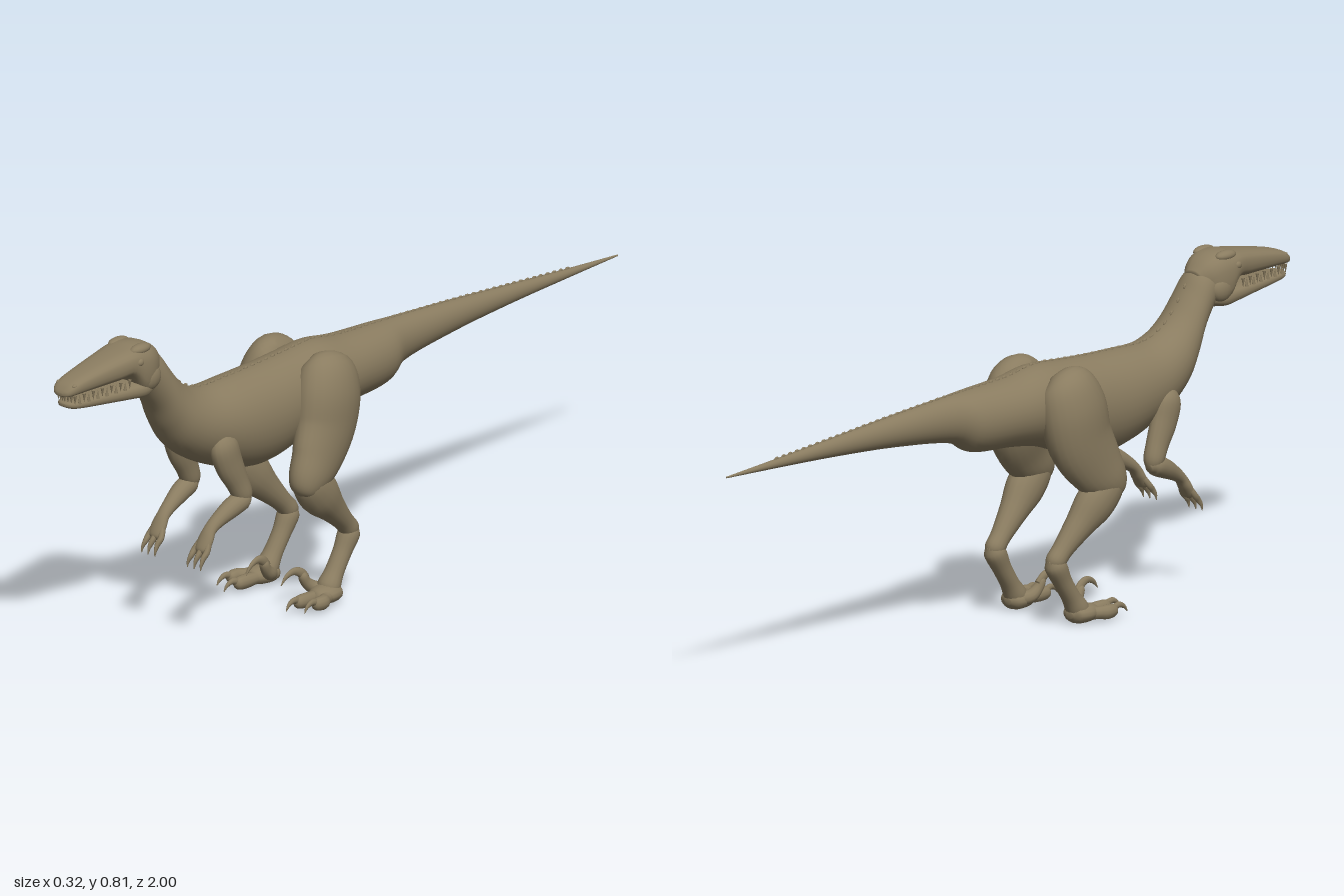
import * as THREE from 'three';

const hide = new THREE.MeshStandardMaterial({ color: 0x8a7c60 });
hide.name = 'olive hide';

// Smoothly resample rows of numbers
function smooth(rows, steps) {
  const out = [];
  for (let i = 0; i < rows.length - 1; i++) {
    const p0 = rows[Math.max(i - 1, 0)], p1 = rows[i];
    const p2 = rows[i + 1], p3 = rows[Math.min(i + 2, rows.length - 1)];
    for (let k = 0; k < steps; k++) {
      const t = k / steps;
      out.push(p1.map((b, n) => 0.5 * (2 * b + (p2[n] - p0[n]) * t
        + (2 * p0[n] - 5 * b + 4 * p2[n] - p3[n]) * t * t
        + (3 * b - p0[n] - 3 * p2[n] + p3[n]) * t * t * t)));
    }
  }
  out.push(rows[rows.length - 1].slice());
  return out;
}

// Skin closed rings {c, a, b}: centre and two half axes; power < 1 squares the section
function loft(name, rings, sides = 20, power = 1) {
  const pos = [], index = [];
  const sq = v => Math.sign(v) * Math.abs(v) ** power;
  for (const { c, a, b } of rings) {
    for (let j = 0; j < sides; j++) {
      const t = (j / sides) * Math.PI * 2;
      const p = c.clone().addScaledVector(a, sq(Math.cos(t))).addScaledVector(b, sq(Math.sin(t)));
      pos.push(p.x, p.y, p.z);
    }
  }
  const last = rings.length - 1, first = rings.length * sides;
  pos.push(...rings[0].c.toArray(), ...rings[last].c.toArray());
  for (let j = 0; j < sides; j++) {
    const k = (j + 1) % sides;
    for (let i = 0; i < last; i++) {
      const p = i * sides, q = p + sides;
      index.push(p + j, p + k, q + k, p + j, q + k, q + j);
    }
    index.push(first, k, j, first + 1, last * sides + j, last * sides + k);
  }
  const g = new THREE.BufferGeometry();
  g.setAttribute('position', new THREE.Float32BufferAttribute(pos, 3));
  g.setIndex(index);
  g.computeVertexNormals();
  const mesh = new THREE.Mesh(g, hide);
  mesh.name = name;
  return mesh;
}

// Rows: z top, y top, z bottom, y bottom, half width
const slab = r => ({
  c: new THREE.Vector3(0, (r[1] + r[3]) / 2, (r[0] + r[2]) / 2),
  a: new THREE.Vector3(r[4], 0, 0),
  b: new THREE.Vector3(0, (r[1] - r[3]) / 2, (r[0] - r[2]) / 2),
});

// Rows: x, y, z, half width, half depth; s mirrors the limb
function limb(name, s, rows, sides = 16, steps = 5) {
  const pts = smooth(rows, steps);
  const at = i => new THREE.Vector3(s * pts[i][0], pts[i][1], pts[i][2]);
  return loft(name, pts.map((r, i) => {
    const t = at(Math.min(i + 1, pts.length - 1)).sub(at(Math.max(i - 1, 0))).normalize();
    const a = new THREE.Vector3(1, 0, 0).addScaledVector(t, -t.x).normalize();
    const b = t.clone().cross(a);
    return { c: at(i), a: a.multiplyScalar(r[3]), b: b.multiplyScalar(r[4]) };
  }), sides);
}

const bodyRows = [
  [-1, .562, -1, .558, .002], [-.8, .575, -.8, .55, .012], [-.6, .59, -.6, .54, .021],
  [-.4, .605, -.4, .525, .033], [-.22, .616, -.21, .5, .047], [-.13, .62, -.13, .463, .072],
  [0, .626, 0, .452, .087], [.1, .64, .1, .435, .093], [.2, .634, .2, .4, .097],
  [.3, .628, .3, .378, .1], [.4, .625, .4, .39, .099], [.49, .624, .52, .437, .09],
  [.55, .642, .6, .49, .079], [.595, .675, .645, .553, .067], [.635, .722, .672, .61, .059],
  [.665, .762, .7, .65, .054], [.7, .785, .73, .69, .05],
];

function head() {
  const g = new THREE.Group();
  g.name = 'head';
  const skull = [
    [.665, .765, .69, .68, .03], [.69, .79, .705, .67, .05], [.72, .806, .725, .672, .061],
    [.755, .81, .75, .68, .064], [.785, .805, .785, .73, .06], [.83, .798, .83, .731, .053],
    [.9, .785, .9, .731, .044], [.95, .774, .95, .731, .038], [.98, .763, .98, .731, .033],
    [.995, .75, .995, .732, .023], [1, .742, 1, .735, .008],
  ];
  const jaw = [
    [.7, .712, .7, .68, .045], [.74, .718, .74, .67, .058], [.79, .717, .79, .674, .053],
    [.85, .717, .85, .681, .046], [.92, .717, .92, .689, .038], [.965, .717, .965, .695, .031],
    [.982, .715, .982, .7, .021], [.988, .711, .988, .704, .008],
  ];
  g.add(loft('skull', smooth(skull, 4).map(slab), 24, .75));
  g.add(loft('lowerJaw', smooth(jaw, 4).map(slab), 24, .75));
  const ball = new THREE.SphereGeometry(1, 16, 10);
  const tooth = new THREE.ConeGeometry(.0045, .024, 6);
  const blob = (name, x, y, z, rx, ry, rz) => {
    const m = new THREE.Mesh(ball, hide);
    m.name = name;
    m.position.set(x, y, z);
    m.scale.set(rx, ry, rz);
    g.add(m);
  };
  for (const s of [-1, 1]) {
    blob('brow', s * .036, .798, .75, .017, .013, .034);
    blob('eye', s * .056, .773, .772, .008, .01, .012);
    blob('cheek', s * .045, .72, .725, .02, .032, .035);
    blob('nostril', s * .026, .758, .972, .006, .005, .01);
    for (let i = 0; i < 13; i++) {
      const t = new THREE.Mesh(tooth, hide);
      t.name = 'tooth';
      t.position.set(s * (.048 - i * .0017), .722, .8 + i * .0145);
      t.rotation.x = i % 2 ? 0 : Math.PI;
      g.add(t);
    }
  }
  for (let i = -2; i <= 2; i++) {
    const t = new THREE.Mesh(tooth, hide);
    t.name = 'frontTooth';
    t.position.set(i * .009, .722, .981 - Math.abs(i) * .002);
    t.rotation.x = Math.PI;
    g.add(t);
  }
  return g;
}

function hindLeg(s) {
  const g = new THREE.Group();
  g.name = s > 0 ? 'leftHindLeg' : 'rightHindLeg';
  g.add(limb('thigh', s, [
    [.06, .622, .125, .015, .03], [.078, .6, .13, .055, .075], [.093, .54, .14, .066, .095],
    [.1, .46, .158, .061, .094], [.112, .39, .2, .049, .08], [.118, .345, .238, .043, .058],
    [.12, .315, .258, .03, .035], [.12, .305, .264, .008, .01],
  ], 24));
  g.add(limb('shank', s, [
    [.12, .36, .262, .014, .014], [.119, .34, .242, .038, .044], [.115, .295, .195, .042, .055],
    [.108, .245, .145, .034, .038], [.102, .195, .095, .026, .026],
    [.1, .165, .068, .024, .025], [.1, .15, .058, .01, .01],
  ]));
  g.add(limb('metatarsus', s, [
    [.1, .178, .056, .012, .012], [.1, .158, .07, .027, .028], [.1, .115, .095, .024, .024],
    [.101, .07, .125, .025, .023], [.102, .035, .148, .03, .028], [.102, .018, .157, .015, .012],
  ]));
  g.add(limb('footPad', s, [
    [.102, .024, .118, .01, .008], [.102, .025, .132, .033, .022],
    [.105, .025, .165, .038, .024], [.108, .024, .195, .026, .018], [.108, .024, .205, .008, .006],
  ]));
  // Two walking toes with claws
  for (const [x0, x1, z1] of [[.098, .099, .255], [.118, .141, .235]]) {
    g.add(limb('toe', s, [
      [x0, .025, .155, .018, .018], [(x0 + x1) / 2, .023, .19, .016, .016],
      [x1, .023, z1 - .025, .017, .018], [x1, .024, z1, .014, .015], [x1, .024, z1 + .008, .004, .004],
    ], 12));
    g.add(limb('toeClaw', s, [
      [x1, .028, z1 - .005, .008, .01], [x1 + .002, .034, z1 + .016, .006, .008],
      [x1 + .003, .027, z1 + .034, .004, .005], [x1 + .004, .014, z1 + .044, .001, .001],
    ], 8));
  }
  // Raised inner toe with its sickle claw
  g.add(limb('raisedToe', s, [
    [.088, .028, .15, .02, .018], [.072, .035, .17, .018, .017], [.066, .052, .188, .014, .014],
    [.064, .07, .198, .012, .012], [.063, .08, .203, .005, .005],
  ], 12));
  g.add(limb('sickleClaw', s, [
    [.064, .062, .188, .008, .012], [.062, .08, .205, .008, .012], [.06, .087, .228, .006, .009],
    [.058, .078, .252, .004, .006], [.057, .06, .268, .001, .001],
  ], 10));
  return g;
}

function arm(s) {
  const g = new THREE.Group();
  g.name = s > 0 ? 'leftArm' : 'rightArm';
  g.add(limb('upperArm', s, [
    [.07, .52, .5, .012, .015], [.077, .49, .496, .027, .04], [.08, .44, .48, .027, .04],
    [.083, .39, .455, .025, .032], [.086, .35, .437, .024, .026], [.087, .328, .43, .012, .012],
  ]));
  g.add(limb('forearm', s, [
    [.087, .334, .418, .01, .012], [.087, .338, .437, .024, .024], [.084, .325, .475, .024, .025],
    [.079, .302, .52, .019, .018], [.077, .284, .545, .018, .014], [.077, .262, .56, .022, .013],
    [.076, .24, .573, .02, .011], [.076, .232, .578, .006, .004],
  ]));
  for (const dx of [-.02, 0, .019]) {
    g.add(limb('finger', s, [
      [.077 + dx * .5, .265, .558, .009, .009], [.076 + dx, .24, .575, .008, .008],
      [.076 + dx, .226, .588, .006, .008], [.076 + dx * 1.1, .212, .597, .003, .005],
      [.076 + dx * 1.1, .198, .6, .001, .001],
    ], 8));
  }
  return g;
}

export function createModel() {
  const model = new THREE.Group();
  model.name = 'dinosaur';
  const spine = smooth(bodyRows, 6);
  model.add(loft('body', spine.map(slab), 32));
  model.add(head());
  for (const s of [-1, 1]) model.add(hindLeg(s), arm(s));

  // Low scutes along the back
  const scute = new THREE.SphereGeometry(1, 8, 6);
  for (let z = -.82; z < .66; z += .024) {
    const i = spine.findIndex(r => r[0] > z), p = spine[i - 1], q = spine[i];
    const m = new THREE.Mesh(scute, hide);
    m.name = 'scute';
    m.position.set(0, p[1] + (q[1] - p[1]) * (z - p[0]) / (q[0] - p[0]), z);
    m.rotation.x = -Math.atan2(q[1] - p[1], q[0] - p[0]);
    m.scale.set(.003, .005, .008);
    model.add(m);
  }
  return model;
}
